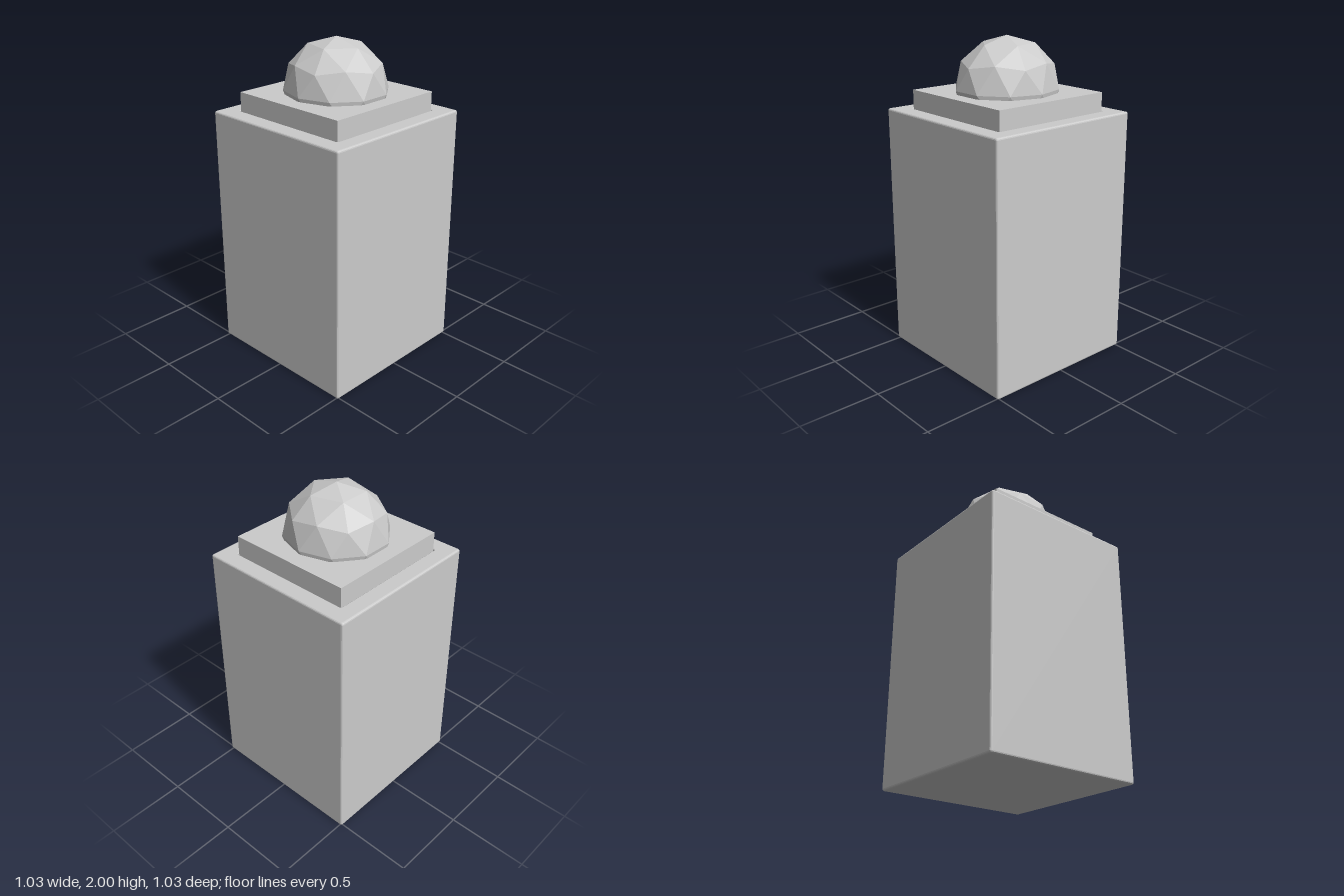
import * as THREE from 'three';

// Square rings [halfWidth, y, cornerRadius] joined into a skin, from the bottom centre outwards
function squareLoft(rings, steps = 3) {
  const pos = [], index = [];
  const n = 4 * (steps + 1);
  for (const [half, y, r] of rings) {
    for (let c = 0; c < 4; c++) {
      const mid = Math.PI / 4 + c * Math.PI / 2;
      const cx = Math.sign(Math.cos(mid)) * (half - r);
      const cz = Math.sign(Math.sin(mid)) * (half - r);
      for (let s = 0; s <= steps; s++) {
        const a = (c + s / steps) * Math.PI / 2;
        pos.push(cx + r * Math.cos(a), y, cz + r * Math.sin(a));
      }
    }
  }
  for (let i = 0; i < rings.length - 1; i++) {
    for (let j = 0; j < n; j++) {
      const k = (j + 1) % n;
      const a = i * n + j, b = i * n + k, c = a + n, d = b + n;
      index.push(a, c, b, b, c, d);
    }
  }
  const geo = new THREE.BufferGeometry();
  geo.setAttribute('position', new THREE.Float32BufferAttribute(pos, 3));
  geo.setIndex(index);
  geo.computeVertexNormals();
  return geo;
}

export function createModel() {
  const group = new THREE.Group();
  const material = new THREE.MeshStandardMaterial({ color: 0xcccccc, flatShading: true });
  const add = (name, geometry) => {
    const mesh = new THREE.Mesh(geometry, material);
    mesh.name = name;
    group.add(mesh);
    return mesh;
  };

  // Tall block with softened edges and a narrow groove sunk into its top
  const w = 0.515, h = 1.553, b = 0.012;
  add('body', squareLoft([
    [0, 0, 0],
    [w - b, 0, 0.006],
    [w - b * 0.5, b * 0.134, 0.009],
    [w - b * 0.134, b * 0.5, 0.011],
    [w, b, b],
    [w, h - b, b],
    [w - b * 0.134, h - b * 0.5, 0.011],
    [w - b * 0.5, h - b * 0.134, 0.009],
    [w - b, h, 0.006],
    [0.413, h, 0.014],
    [0.409, h - 0.003, 0.012],
    [0.406, h - 0.025, 0.01],
    [0, h - 0.025, 0],
  ]));

  // Square slab rising out of the groove
  const slabBottom = 1.52, slabTop = 1.668;
  add('slab', new THREE.BoxGeometry(0.802, slabTop - slabBottom, 0.802))
    .position.y = (slabBottom + slabTop) / 2;

  // Faceted ball sunk to its middle, one corner pointing straight up
  const ball = new THREE.IcosahedronGeometry(1, 1);
  ball.rotateZ(-Math.atan(2 / (1 + Math.sqrt(5))));
  ball.scale(0.325, 0.31, 0.31);
  add('domeKnob', ball).position.y = 1.69;

  return group;
}
